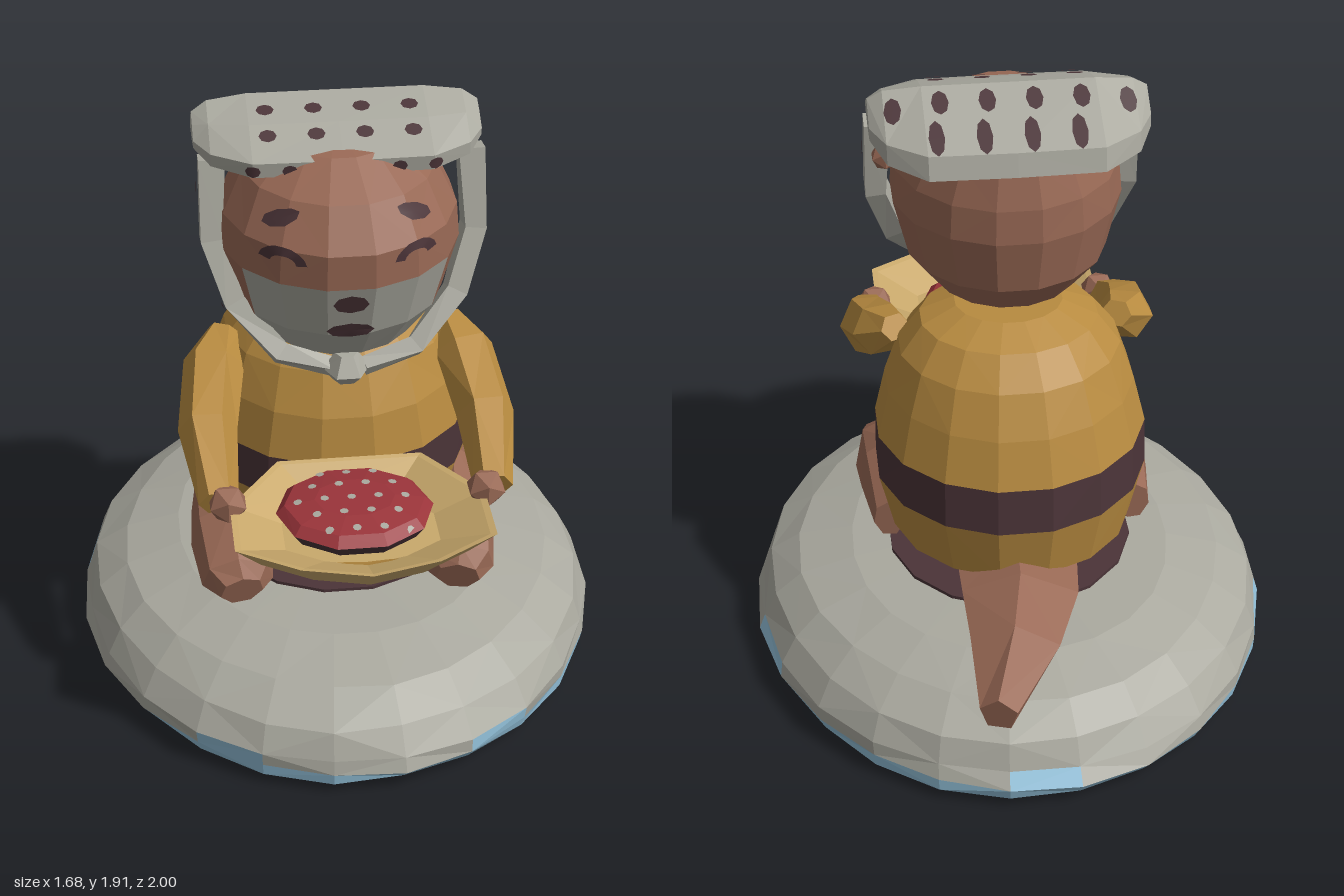
import * as THREE from 'three';

const mat = (name, color) => {
  const m = new THREE.MeshStandardMaterial({ color });
  m.name = name;
  return m;
};
const V = (x, y, z) => new THREE.Vector3(x, y, z);

// Faceted closed skin over rings of points; pick(i, j) gives the material index of a face
function skin(name, rings, mats, pick = () => 0) {
  mats = [].concat(mats);
  const lists = mats.map(() => []);
  const n = rings[0].length, last = rings.length - 1;
  const centre = r => r.reduce((s, p) => s.add(p), V(0, 0, 0)).divideScalar(n);
  const c0 = centre(rings[0]), c1 = centre(rings[last]);
  for (let j = 0; j < n; j++) {
    const k = (j + 1) % n;
    for (let i = 0; i < last; i++) {
      const a = rings[i][j], b = rings[i][k], c = rings[i + 1][k], d = rings[i + 1][j];
      if ((i + j) % 2) lists[pick(i, j)].push([a, b, c], [a, c, d]);
      else lists[pick(i, j)].push([a, b, d], [b, c, d]);
    }
    lists[pick(0, j)].push([c0, rings[0][k], rings[0][j]]);
    lists[pick(last - 1, j)].push([c1, rings[last][j], rings[last][k]]);
  }
  // turn the faces outward
  let volume = 0;
  lists.flat().forEach(([a, b, c]) => { volume += a.dot(V(0, 0, 0).crossVectors(b, c)); });
  const pos = [], geo = new THREE.BufferGeometry();
  lists.forEach((list, m) => {
    geo.addGroup(pos.length / 3, list.length * 3, m);
    list.forEach(t => (volume < 0 ? [t[0], t[2], t[1]] : t).forEach(p => pos.push(p.x, p.y, p.z)));
  });
  geo.setAttribute('position', new THREE.Float32BufferAttribute(pos, 3));
  geo.computeVertexNormals();
  const mesh = new THREE.Mesh(geo, mats.length > 1 ? mats : mats[0]);
  mesh.name = name;
  return mesh;
}

// Horizontal oval rings from rows of [y, half width, front z, back z]
const ovals = (rows, n, cx = 0, wobble = 0) => rows.map(([y, rx, zf, zb], i) =>
  Array.from({ length: n }, (_, j) => {
    const a = (j + 0.5) / n * Math.PI * 2;
    const w = 1 - wobble * (0.5 + 0.5 * Math.sin(j * 5.3 + i * 2.1));
    return V(cx + rx * w * Math.sin(a), y, (zf + zb) / 2 + (zf - zb) / 2 * w * Math.cos(a));
  }));

// Rings across a path of [x, y, z, half width, half height]
function along(path, n, ref, turn = 0) {
  const pts = path.map(p => V(p[0], p[1], p[2]));
  return path.map((p, i) => {
    const t = pts[Math.min(i + 1, pts.length - 1)].clone().sub(pts[Math.max(i - 1, 0)]).normalize();
    const side = t.clone().cross(ref).normalize(), up = side.clone().cross(t);
    return Array.from({ length: n }, (_, j) => {
      const a = j / n * Math.PI * 2 + turn;
      return pts[i].clone().addScaledVector(side, p[3] * Math.cos(a)).addScaledVector(up, p[4] * Math.sin(a));
    });
  });
}

// Thin painted patch dropped onto a target from a given side
const SIDES = { front: [0, 0], top: [-Math.PI / 2, 0], left: [0, Math.PI / 2], right: [0, -Math.PI / 2], back: [0, Math.PI] };
function patch(name, target, side, geo, u, v, material) {
  const e = new THREE.Euler(SIDES[side][0], SIDES[side][1], 0);
  const dir = V(0, 0, -1).applyEuler(e), p = geo.attributes.position, ray = new THREE.Raycaster();
  let depth = V(0, 0, 0);
  geo.translate(u, v, 0);
  const place = (x, y) => {
    const o = V(x, y, 5).applyEuler(e);
    ray.set(o, dir);
    const hit = ray.intersectObject(target)[0];
    return hit ? hit.point.addScaledVector(dir, -0.007) : null;
  };
  depth = place(u, v);
  for (let i = 0; i < p.count; i++) {
    const q = place(p.getX(i), p.getY(i)) || depth || V(0, 1, 0);
    p.setXYZ(i, q.x, q.y, q.z);
  }
  geo.computeVertexNormals();
  const mesh = new THREE.Mesh(geo, material);
  mesh.name = name;
  return mesh;
}
const oval = (rx, ry) => new THREE.CircleGeometry(1, 8).scale(rx, ry, 1);

export function createModel() {
  const g = new THREE.Group();
  g.name = 'seatedOtter';
  const stone = mat('stone grey', 0xaaa99f), brown = mat('fur brown', 0x996955);
  const mustard = mat('mustard', 0xb88b40), dark = mat('dark brown', 0x4b3438);
  const red = mat('red', 0x9a343a), tan = mat('tan', 0xc9a96c);
  const blue = mat('water blue', 0x4a88ab), foam = mat('pale blue', 0x93c1da);
  const Y = V(0, 1, 0), X = V(1, 0, 0);

  // Rock with a water line
  g.add(skin('rock', ovals([
    [0, 0.7, 0.84, -0.86], [0.035, 0.83, 0.97, -0.99], [0.075, 0.848, 0.99, -1.005], [0.12, 0.84, 0.98, -0.98],
    [0.2, 0.8, 0.93, -0.93], [0.27, 0.7, 0.81, -0.82], [0.315, 0.53, 0.61, -0.65], [0.325, 0.25, 0.3, -0.3],
  ], 24, 0, 0.02), [stone, blue, foam], (i, j) => i === 0 ? 1 : i === 1 ? 2 : i === 2 && j % 5 === 1 ? 2 : 0));
  g.add(skin('seatShade', ovals([[0.31, 0.4, 0.4, -0.43], [0.332, 0.4, 0.4, -0.43]], 16), dark));

  // Robe with a sash
  g.add(skin('robe', ovals([
    [0.325, 0.24, 0.17, -0.24], [0.37, 0.31, 0.25, -0.34], [0.46, 0.39, 0.34, -0.45], [0.65, 0.435, 0.385, -0.485],
    [0.80, 0.432, 0.385, -0.468], [0.95, 0.395, 0.36, -0.42], [1.08, 0.35, 0.3, -0.355],
    [1.17, 0.28, 0.23, -0.27], [1.215, 0.17, 0.14, -0.16],
  ], 16), [mustard, dark], i => i === 3 ? 1 : 0));

  // Head with a grey muzzle
  const head = skin('head', ovals([
    [1.175, 0.14, 0.3, 0], [1.22, 0.23, 0.42, -0.08], [1.33, 0.315, 0.495, -0.17], [1.51, 0.36, 0.555, -0.205],
    [1.62, 0.35, 0.56, -0.2], [1.74, 0.29, 0.48, -0.17], [1.82, 0.18, 0.34, -0.05], [1.84, 0.07, 0.22, 0.05],
  ], 16, -0.012), [brown, stone], (i, j) => i < 3 && Math.cos((j + 1) * Math.PI / 8) > 0.6 ? 1 : 0);
  g.add(head);
  g.add(patch('nose', head, 'front', oval(0.052, 0.034), -0.012, 1.455, dark));
  g.add(patch('mouth', head, 'front', oval(0.07, 0.028), -0.01, 1.35, dark));
  for (const s of [-1, 1]) {
    const x = s * 0.19 - 0.012;
    const arch = new THREE.RingGeometry(0.036, 0.066, 8, 1, 0.15, Math.PI - 0.3).scale(1, 0.85, 1);
    g.add(patch('closedEye', head, 'front', arch, x, 1.575, dark));
    g.add(patch('eyebrow', head, 'front', oval(0.058, 0.018).rotateZ(-s * 0.45), x, 1.695, dark));
  }

  // Folded kerchief on the head, as side profiles [z, y] narrowing outwards
  const profile = [[0.33, 1.765], [0.335, 1.81], [0.2, 1.87], [0.07, 1.912], [-0.17, 1.80], [-0.19, 1.73], [0.08, 1.73]];
  const scarf = skin('kerchief', [[-0.42, 0.35, 0.5], [-0.375, 0.68, 0.85], [-0.26, 0.98, 1], [0, 1, 1],
    [0.26, 0.98, 1], [0.375, 0.68, 0.85], [0.42, 0.35, 0.5]]
    .map(([x, sz, sy]) => profile.map(([z, y]) => V(x - 0.01, 1.83 + (y - 1.83) * sy, 0.1 + (z - 0.1) * sz))), stone);
  g.add(scarf);
  for (const x of [-0.36, -0.22, -0.08, 0.06, 0.2, 0.34]) {
    g.add(patch('kerchiefSpot', scarf, 'top', oval(0.026, 0.04), x, -0.005, dark));
    g.add(patch('kerchiefSpot', scarf, 'front', oval(0.022, 0.018), x * 0.75, 1.787, dark));
    if (Math.abs(x) < 0.3) {
      g.add(patch('kerchiefSpot', scarf, 'top', oval(0.026, 0.021), x, -0.15, dark));
      g.add(patch('kerchiefSpot', scarf, 'top', oval(0.026, 0.021), x, -0.245, dark));
      g.add(patch('kerchiefSpot', scarf, 'back', oval(0.024, 0.028), x, 1.83, dark));
    }
  }
  g.add(skin('kerchiefKnot', ovals([[1.125, 0.04, 0.44, 0.36], [1.17, 0.07, 0.49, 0.33], [1.225, 0.035, 0.45, 0.38]], 6, -0.012), stone));

  for (const s of [-1, 1]) {
    // Kerchief ties down the cheeks
    const tie = skin('kerchiefTie', along([[s * 0.38, 1.76, 0.17, 0.05, 0.055], [s * 0.39, 1.52, 0.21, 0.075, 0.045],
      [s * 0.33, 1.34, 0.28, 0.07, 0.045], [s * 0.2, 1.2, 0.36, 0.06, 0.04], [s * 0.04, 1.17, 0.41, 0.03, 0.03]],
      4, X, Math.PI / 4), stone);
    g.add(tie);
    const side = s > 0 ? 'left' : 'right';
    for (const [z, y] of [[0.18, 1.67], [0.24, 1.47], [0.29, 1.32]])
      g.add(patch('tieSpot', tie, side, oval(0.02, 0.026), -s * z, y, dark));
    // Ears
    const ear = new THREE.Mesh(new THREE.IcosahedronGeometry(0.045, 0), brown);
    ear.position.set(s * 0.365, 1.71, 0.03);
    ear.name = 'ear';
    g.add(ear);
    // Sleeves and paws
    g.add(skin('sleeve', along([[s * 0.35, 1.1, 0.04, 0.05, 0.045], [s * 0.39, 1.04, 0.13, 0.095, 0.085],
      [s * 0.425, 0.93, 0.34, 0.09, 0.1], [s * 0.41, 0.835, 0.59, 0.06, 0.055]], 6, Y), mustard));
    const paw = new THREE.Mesh(new THREE.IcosahedronGeometry(0.062, 0), brown);
    paw.position.set(s * 0.385, 0.845, 0.61);
    paw.name = 'paw';
    g.add(paw);
    // Folded legs
    g.add(skin('leg', along([[s * 0.4, 0.48, -0.13, 0.05, 0.07], [s * 0.375, 0.49, 0.08, 0.105, 0.155],
      [s * 0.355, 0.465, 0.24, 0.135, 0.15], [s * 0.35, 0.41, 0.4, 0.115, 0.1], [s * 0.34, 0.395, 0.45, 0.07, 0.06]],
      7, Y, Math.PI / 2), brown));
  }

  // Tail
  g.add(skin('tail', along([[0.01, 0.41, -0.33, 0.2, 0.11], [0.02, 0.41, -0.5, 0.19, 0.11],
    [0.06, 0.39, -0.7, 0.145, 0.095], [0.14, 0.355, -0.955, 0.06, 0.065]], 5, Y, Math.PI / 2), brown));

  // Angular open bowl
  const rim = [[0, 1], [0.2, 0.95], [0.38, 0.84], [0.38, 0.62], [0.22, 0.4], [-0.22, 0.4], [-0.38, 0.62], [-0.38, 0.84], [-0.2, 0.95]];
  const level = (y, k) => rim.map(([x, z]) => V(x * k, y, 0.63 + (z - 0.63) * k));
  const bowl = skin('bowl', [level(0.675, 0.5), level(0.755, 0.8), level(0.84, 1), level(0.835, 0.95), level(0.77, 0.6)], tan);
  g.add(bowl);
  g.add(patch('bowlMark', bowl, 'top', oval(0.09, 0.018), 0, -0.865, mustard));

  // Red filling with pale flecks
  const food = skin('filling', ovals([[0.76, 0.2, 0.8, 0.46], [0.81, 0.235, 0.835, 0.42], [0.835, 0.21, 0.8, 0.45],
    [0.85, 0.12, 0.72, 0.53]], 10, -0.01), [red, dark], i => i === 0 ? 1 : 0);
  g.add(food);
  for (let r = 0; r < 5; r++)
    for (let c = -2; c <= 2; c++) {
      const x = c * 0.08 + (r % 2 ? 0.03 : -0.02), z = 0.49 + r * 0.07;
      if (Math.hypot(x, z - 0.63) < 0.2) g.add(patch('fleck', food, 'top', oval(0.013, 0.013), x, -z, stone));
    }
  return g;
}
